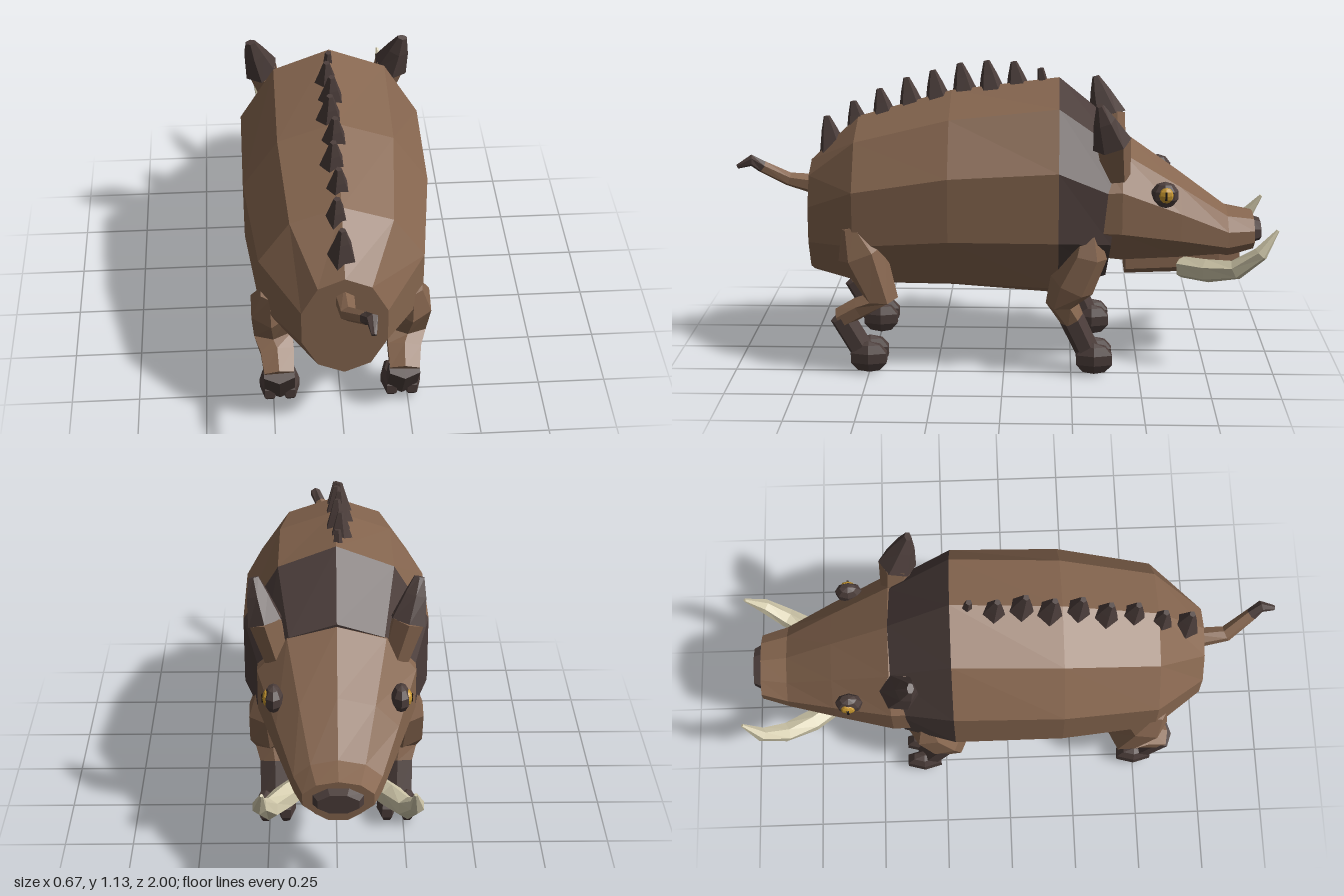
import * as THREE from 'three';

const mat = (name, color) => {
  const m = new THREE.MeshStandardMaterial({ color });
  m.name = name;
  return m;
};

// Faceted tube through rings [x, y, z, radiusX, radiusOther, tilt], capped at both ends.
// With a fixed direction all rings are parallel, otherwise they follow the path.
function loft(rings, sides, dir) {
  const X = new THREE.Vector3(1, 0, 0);
  const centres = rings.map((r) => new THREE.Vector3(r[0], r[1], r[2]));
  const loops = rings.map((r, i) => {
    const t = dir ? dir.clone() : new THREE.Vector3().subVectors(
      centres[Math.min(i + 1, rings.length - 1)], centres[Math.max(i - 1, 0)]).normalize();
    const v = new THREE.Vector3().crossVectors(t, X).normalize();
    const u = new THREE.Vector3().crossVectors(v, t);
    return Array.from({ length: sides }, (_, j) => {
      const a = ((j + 0.5) / sides) * Math.PI * 2;
      return centres[i].clone()
        .addScaledVector(u, Math.cos(a) * r[3])
        .addScaledVector(v, Math.sin(a) * r[4])
        .addScaledVector(t, Math.sin(a) * (r[5] || 0));
    });
  });
  const pos = [];
  const tri = (...ps) => ps.forEach((p) => pos.push(p.x, p.y, p.z));
  const last = rings.length - 1;
  for (let j = 0; j < sides; j++) {
    const k = (j + 1) % sides;
    for (let i = 0; i < last; i++) {
      const a = loops[i], b = loops[i + 1];
      tri(a[j], a[k], b[k]);
      tri(a[j], b[k], b[j]);
    }
    tri(centres[0], loops[0][k], loops[0][j]);
    tri(centres[last], loops[last][j], loops[last][k]);
  }
  const g = new THREE.BufferGeometry();
  g.setAttribute('position', new THREE.Float32BufferAttribute(pos, 3));
  g.computeVertexNormals();
  return g;
}

// Faceted ellipsoid
function blob(rx, ry, rz, w = 7, h = 5) {
  const g = new THREE.SphereGeometry(1, w, h).scale(rx, ry, rz).toNonIndexed();
  g.computeVertexNormals();
  return g;
}

export function createModel() {
  const brown = mat('brown hide', 0x86664f);
  const dark = mat('dark bristle', 0x4b3d3a);
  const ivory = mat('ivory', 0xd2caac);
  const gold = mat('gold', 0xc9982f);
  const black = mat('black', 0x1c1614);

  const root = new THREE.Group();
  root.name = 'boar';
  const add = (name, geometry, material, p = [0, 0, 0]) => {
    const m = new THREE.Mesh(geometry, material);
    m.name = name;
    m.position.set(...p);
    root.add(m);
    return m;
  };
  const Z = new THREE.Vector3(0, 0, 1);

  // Trunk, shoulder band and head
  add('body', loft([
    [0, 0.65, -0.2, 0.352, 0.418],
    [0, 0.64, 0.2, 0.352, 0.378],
    [0, 0.592, 0.55, 0.305, 0.325],
    [0, 0.535, 0.73, 0.158, 0.215],
  ], 10, Z), brown);
  add('shoulderBand', loft([
    [0, 0.59, -0.4, 0.285, 0.29, -0.03],
    [0, 0.65, -0.2, 0.352, 0.418],
  ], 10, Z), dark);
  add('head', loft([
    [0, 0.492, -0.93, 0.126, 0.07],
    [0, 0.487, -0.83, 0.158, 0.095],
    [0, 0.55, -0.65, 0.222, 0.165],
    [0, 0.62, -0.43, 0.295, 0.25],
    [0, 0.62, -0.35, 0.295, 0.24],
  ], 10, Z), brown);
  add('lowerJaw', loft([
    [0, 0.42, -0.88, 0.085, 0.05],
    [0, 0.405, -0.8, 0.12, 0.07],
    [0, 0.405, -0.45, 0.17, 0.078],
  ], 8, Z), brown);
  add('nose', loft([
    [0, 0.492, -0.96, 0.075, 0.038],
    [0, 0.492, -0.92, 0.098, 0.052],
  ], 8, Z), dark);

  // Row of back bristles
  const tips = [0.915, 0.97, 1.02, 1.06, 1.09, 1.115, 1.127, 1.122, 1.1];
  tips.forEach((y, i) => {
    const z = 0.67 - i * 0.1;
    const r = i === 8 ? 0.04 : 0.062;
    const shift = (i % 2 ? -1 : 1) * 0.006 - 0.012;
    add('backBristle', loft([
      [shift, y - 0.15, z - 0.025, r, r],
      [shift, y - 0.05, z - 0.008, r * 0.45, r * 0.5],
      [shift, y, z, 0.012, 0.012],
    ], 5), dark);
  });

  // Tail with a dark tip
  add('tail', loft([
    [0, 0.65, 0.7, 0.038, 0.042],
    [0.005, 0.675, 0.82, 0.03, 0.026],
    [0.055, 0.735, 0.91, 0.023, 0.023],
  ], 6), brown);
  add('tailTip', loft([
    [0.055, 0.735, 0.91, 0.023, 0.023],
    [0.075, 0.762, 0.945, 0.022, 0.022],
    [0.077, 0.738, 0.997, 0.01, 0.008],
  ], 6), dark);

  for (const s of [1, -1]) {
    const side = s > 0 ? 'left' : 'right';
    const path = (rings) => rings.map(([x, ...rest]) => [x * s, ...rest]);

    // Ears
    add(side + 'EarBase', loft(path([
      [0.21, 0.74, -0.41, 0.05, 0.05],
      [0.25, 0.88, -0.395, 0.062, 0.062],
    ]), 6), brown);
    add(side + 'Ear', loft(path([
      [0.25, 0.87, -0.39, 0.068, 0.072],
      [0.275, 0.96, -0.36, 0.043, 0.04],
      [0.288, 1.02, -0.342, 0.02, 0.013],
    ]), 6), dark);

    // Eyes
    add(side + 'EyeSocket', blob(0.035, 0.05, 0.052, 8, 5), dark, [s * 0.22, 0.677, -0.585]);
    add(side + 'Eye', blob(0.018, 0.03, 0.03, 8, 6), gold, [s * 0.241, 0.68, -0.588]);
    add(side + 'Pupil', new THREE.BoxGeometry(0.006, 0.03, 0.008), black, [s * 0.258, 0.68, -0.588]);

    // Tusks
    add(side + 'Tusk', loft(path([
      [0.12, 0.375, -0.66, 0.04, 0.042],
      [0.185, 0.38, -0.75, 0.042, 0.045],
      [0.235, 0.4, -0.85, 0.037, 0.038],
      [0.262, 0.47, -0.935, 0.026, 0.028],
      [0.252, 0.555, -0.995, 0.006, 0.006],
    ]), 6), ivory);

    // Front leg
    add(side + 'FrontLeg', loft(path([
      [0.255, 0.59, -0.31, 0.025, 0.025],
      [0.255, 0.46, -0.305, 0.072, 0.075],
      [0.245, 0.34, -0.25, 0.085, 0.085],
      [0.235, 0.27, -0.215, 0.075, 0.06],
      [0.228, 0.2, -0.255, 0.062, 0.045],
    ]), 6), brown);
    add(side + 'FrontShank', loft(path([
      [0.228, 0.205, -0.252, 0.064, 0.047],
      [0.226, 0.06, -0.32, 0.065, 0.045],
    ]), 6), dark);

    // Back leg
    add(side + 'BackLeg', loft(path([
      [0.255, 0.56, 0.56, 0.035, 0.035],
      [0.252, 0.46, 0.52, 0.08, 0.092],
      [0.245, 0.29, 0.455, 0.08, 0.065],
      [0.232, 0.245, 0.53, 0.07, 0.04],
      [0.228, 0.2, 0.605, 0.062, 0.04],
    ]), 6), brown);
    add(side + 'BackShank', loft(path([
      [0.228, 0.21, 0.605, 0.064, 0.045],
      [0.226, 0.06, 0.52, 0.065, 0.045],
    ]), 6), dark);

    // Two toes on each foot
    for (const [name, z] of [['Front', -0.335], ['Back', 0.5]]) {
      for (const x of [0.188, 0.264]) {
        add(side + name + 'Toe', blob(0.038, 0.06, 0.08, 6, 5), dark, [s * x, 0.06, z]);
      }
    }
  }
  return root;
}
